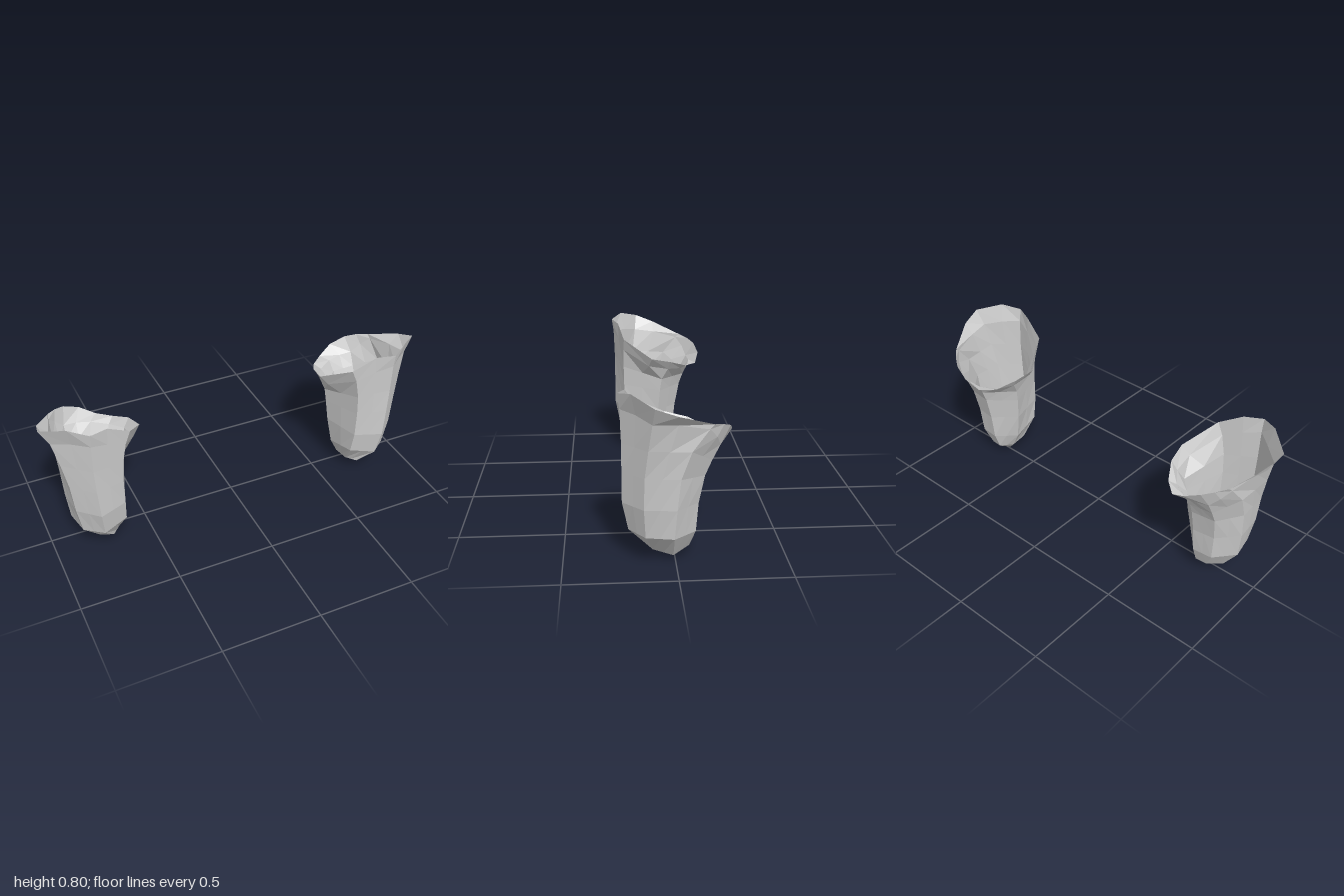
import * as THREE from 'three';

// Cross-sections of one cup from foot to neck: seven corners [x, y, z],
// running front, outer front, outer back, back, back inner, inner, inner front
const SECTIONS = [
  [[.71, .05, .135], [.775, .045, .1], [.81, .03, .01], [.76, .055, -.065], [.70, .055, -.07], [.66, .045, 0], [.665, .055, .09]],
  [[.77, .145, .208], [.86, .14, .135], [.885, .14, .01], [.80, .14, -.09], [.70, .14, -.1], [.617, .13, 0], [.643, .163, .162]],
  [[.785, .28, .235], [.885, .28, .143], [.9, .28, 0], [.81, .28, -.1], [.7, .28, -.115], [.59, .28, -.01], [.647, .28, .182]],
  [[.795, .43, .235], [.9, .43, .14], [.907, .425, -.015], [.82, .41, -.125], [.7, .41, -.14], [.577, .4, -.02], [.648, .42, .185]],
  [[.8, .56, .235], [.925, .56, .125], [.913, .55, -.06], [.82, .48, -.155], [.7, .47, -.162], [.57, .47, -.03], [.642, .53, .187]],
];
const TIP = [.70, .002, .01];

// Throat and wavy rim: a corner and a midpoint for every side
const THROAT = [
  [.8, .71, .24], [.875, .705, .175], [.955, .685, .109], [.935, .675, 0], [.9, .645, -.135], [.865, .6, -.17], [.82, .55, -.19],
  [.755, .54, -.2], [.685, .53, -.19], [.605, .525, -.14], [.55, .535, -.065], [.54, .555, .045], [.622, .635, .187], [.715, .68, .213],
];
const RIM = [
  [.8, .78, .25], [.89, .8, .195], [1, .765, .1], [.985, .727, 0], [.895, .665, -.155], [.85, .65, -.2], [.8, .63, -.235],
  [.72, .59, -.253], [.645, .545, -.23], [.575, .548, -.168], [.52, .583, -.075], [.5, .605, .03], [.595, .7, .185], [.71, .77, .215],
];

// Adds midpoints so that each section matches the rim
function withMidpoints(ring) {
  return ring.flatMap((p, i) => {
    const q = ring[(i + 1) % ring.length];
    return [p, p.map((v, k) => (v + q[k]) / 2)];
  });
}

function cupGeometry(side) {
  const rings = [...SECTIONS.map(withMidpoints), THROAT, RIM];
  const n = RIM.length;
  const position = [];
  const tri = (a, b, c) => {
    for (const p of side > 0 ? [a, b, c] : [a, c, b]) position.push(p[0] * side, p[1], p[2]);
  };
  for (let i = 0; i < n; i++) {
    const j = (i + 1) % n;
    tri(TIP, rings[0][i], rings[0][j]);
    for (let r = 0; r < rings.length - 1; r++) {
      const lo = rings[r], hi = rings[r + 1];
      tri(lo[i], hi[j], lo[j]);
      tri(lo[i], hi[i], hi[j]);
    }
  }
  const geometry = new THREE.BufferGeometry();
  geometry.setAttribute('position', new THREE.Float32BufferAttribute(position, 3));
  geometry.computeVertexNormals();
  return geometry;
}

export function createModel() {
  const group = new THREE.Group();
  group.name = 'cupPair';
  const grey = new THREE.MeshStandardMaterial({ color: 0xcccccc, side: THREE.DoubleSide, flatShading: true });
  grey.name = 'grey';

  // Mirrored pair of open, flared cups
  for (const side of [1, -1]) {
    const cup = new THREE.Mesh(cupGeometry(side), grey);
    cup.name = side > 0 ? 'leftCup' : 'rightCup';
    group.add(cup);
  }
  return group;
}
